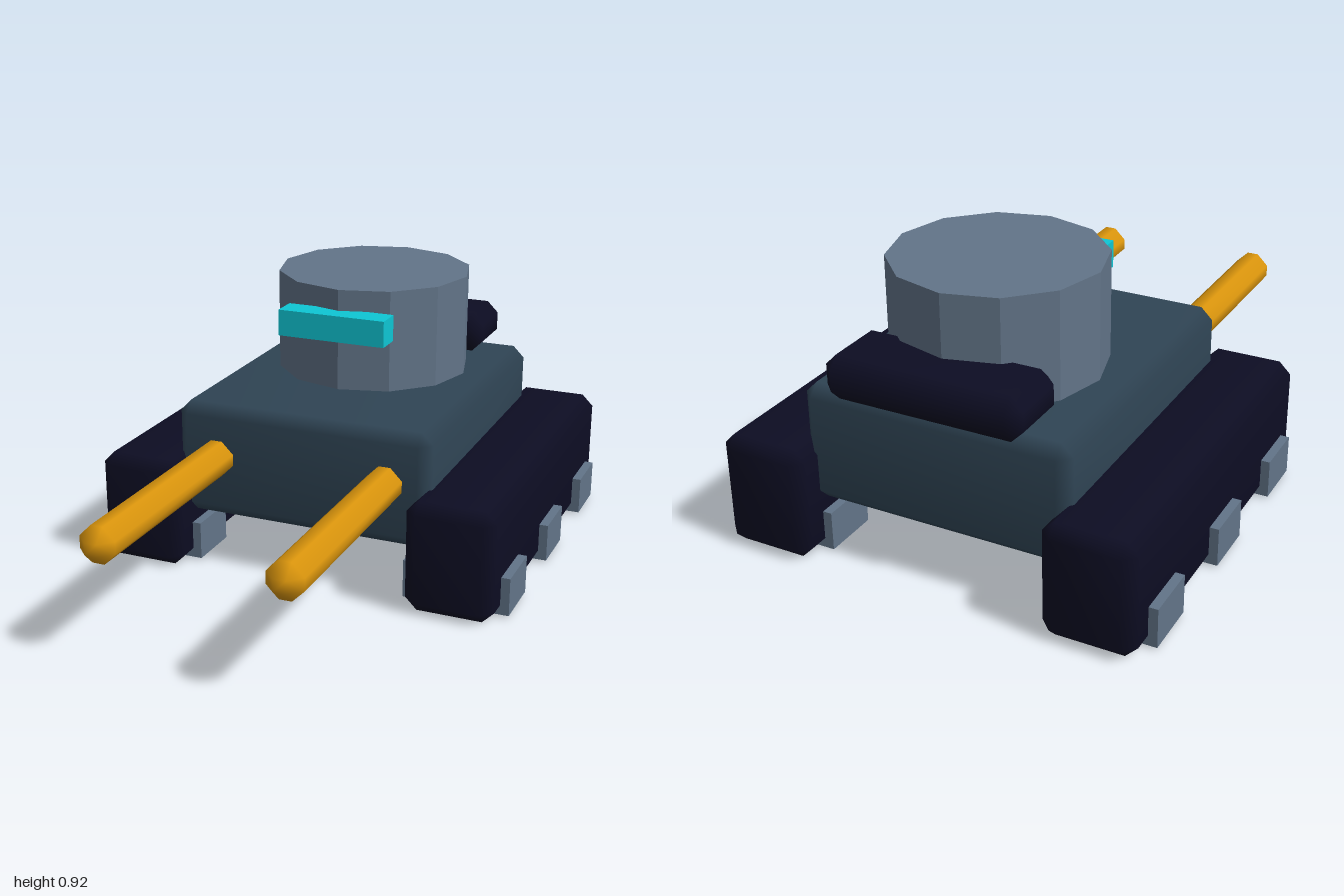
import * as THREE from 'three';
import { mergeVertices } from 'three/addons/utils/BufferGeometryUtils.js';
import { ConvexGeometry } from 'three/addons/geometries/ConvexGeometry.js';

const material = (name, color) => {
  const m = new THREE.MeshStandardMaterial({ color });
  m.name = name;
  return m;
};

// Box with bevelled edges and smooth normals
function bevelBox(w, h, d, b = 0.04) {
  const points = [];
  const signs = [-1, 1];
  for (const sx of signs) for (const sy of signs) for (const sz of signs) {
    for (let axis = 0; axis < 3; axis++) {
      const half = [w / 2, h / 2, d / 2].map((v, i) => (i === axis ? v : v - b));
      points.push(new THREE.Vector3(sx * half[0], sy * half[1], sz * half[2]));
    }
  }
  let g = new ConvexGeometry(points);
  g.deleteAttribute('normal');
  g = mergeVertices(g);
  g.computeVertexNormals();
  return g;
}

export function createModel() {
  const model = new THREE.Group();
  model.name = 'tank';
  const slate = material('slate hull', 0x2f4454);
  const steel = material('steel grey', 0x627488);
  const navy = material('dark navy', 0x0d0d23);
  const amber = material('amber', 0xd6920c);
  const cyan = material('cyan', 0x0ec6d4);

  const add = (name, geometry, mat, x, y, z) => {
    const mesh = new THREE.Mesh(geometry, mat);
    mesh.name = name;
    mesh.position.set(x, y, z);
    model.add(mesh);
  };

  // Hull, turret and fittings
  add('hull', bevelBox(0.9, 0.395, 1.1), slate, 0, 0.3725, -0.35);
  const turret = new THREE.CylinderGeometry(0.34, 0.34, 0.35, 12).toNonIndexed();
  turret.computeVertexNormals();
  add('turret', turret, steel, 0, 0.745, -0.47);
  add('visor', new THREE.BoxGeometry(0.38, 0.09, 0.09), cyan, 0, 0.803, -0.11);
  add('rearPack', bevelBox(0.65, 0.145, 0.26), navy, 0, 0.643, -0.83);

  // Treads, wheel blocks and barrels on both sides
  const tread = bevelBox(0.3, 0.38, 1.3);
  const barrel = bevelBox(0.12, 0.12, 0.9);
  const block = new THREE.BoxGeometry(0.36, 0.13, 0.19);
  for (const [side, s] of [['left', 1], ['right', -1]]) {
    add(side + 'Tread', tread, navy, s * 0.55, 0.19, -0.35);
    add(side + 'Barrel', barrel, amber, s * 0.3, 0.39, 0.55);
    for (const z of [0.105, -0.345, -0.8]) {
      add(side + 'WheelBlock', block, steel, s * 0.55, 0.072, z);
    }
  }
  return model;
}
